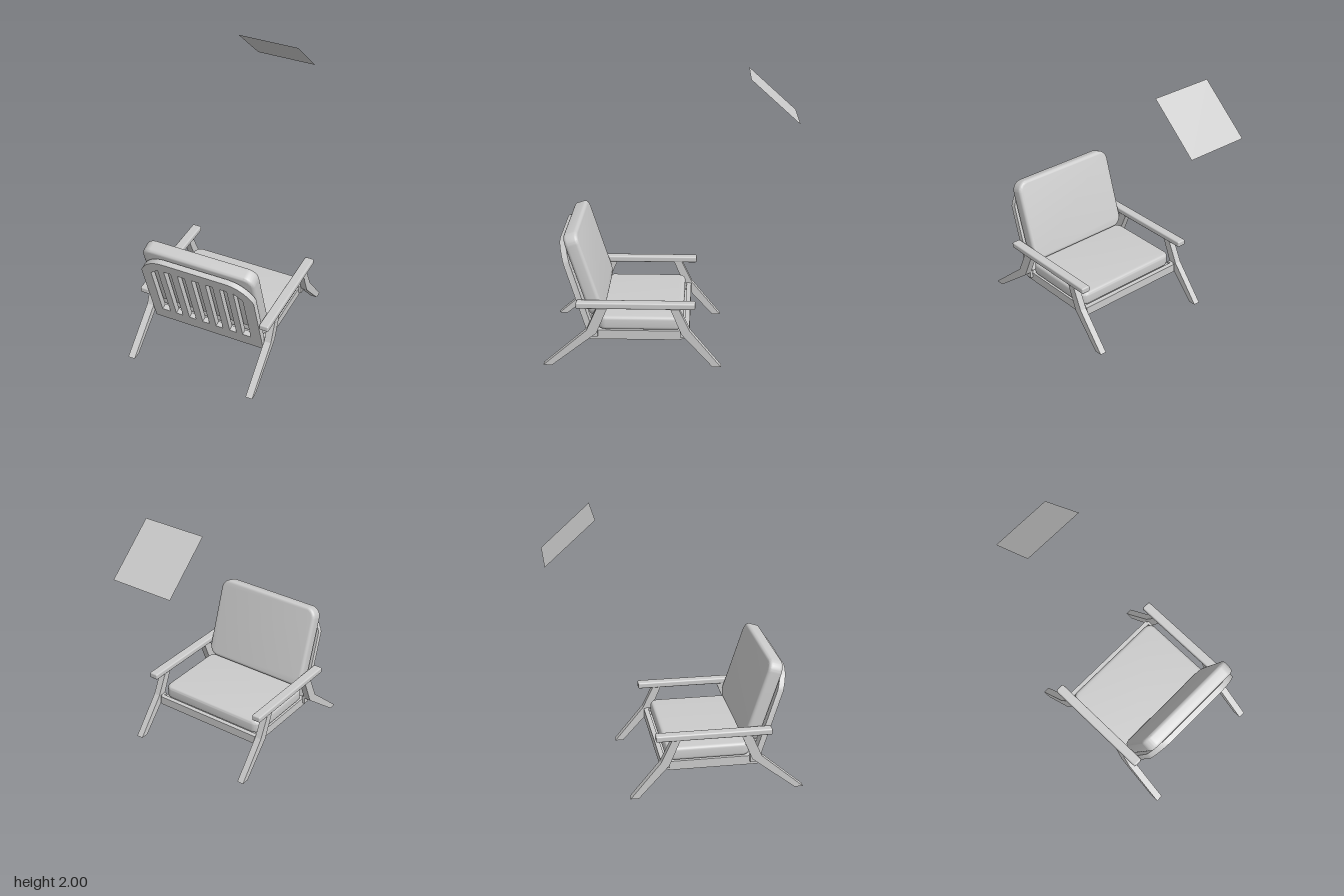
import * as THREE from 'three';
import { toCreasedNormals } from 'three/addons/utils/BufferGeometryUtils.js';
import { RoundedBoxGeometry } from 'three/addons/geometries/RoundedBoxGeometry.js';

const grey = new THREE.MeshStandardMaterial({ color: 0xcccccc });

function add(parent, name, geometry, x = 0, y = 0, z = 0, material = grey) {
  const mesh = new THREE.Mesh(geometry, material);
  mesh.name = name;
  mesh.position.set(x, y, z);
  parent.add(mesh);
  return mesh;
}

const polygon = (points) => new THREE.Shape(points.map(([x, y]) => new THREE.Vector2(x, y)));

// Side profile given as (z, y) points, extruded between x0 and x1
function sideProfile(points, x0, x1) {
  const g = new THREE.ExtrudeGeometry(polygon(points), { depth: x1 - x0, bevelEnabled: false });
  return g.rotateY(-Math.PI / 2).translate(x1, 0, 0);
}

// Padded slab centred on the origin, w by h in plan with round corners, t thick along z
function cushion(w, h, t, corner, edge) {
  const a = w / 2 - edge, b = h / 2 - edge, r = corner - edge;
  const s = new THREE.Shape();
  s.moveTo(-a + r, -b);
  s.lineTo(a - r, -b);
  s.absarc(a - r, -b + r, r, -Math.PI / 2, 0);
  s.absarc(a - r, b - r, r, 0, Math.PI / 2);
  s.absarc(-a + r, b - r, r, Math.PI / 2, Math.PI);
  s.absarc(-a + r, -b + r, r, Math.PI, Math.PI * 1.5);
  const g = new THREE.ExtrudeGeometry(s, {
    depth: t - 2 * edge, bevelThickness: edge, bevelSize: edge, bevelSegments: 5, curveSegments: 8,
  });
  return toCreasedNormals(g.translate(0, 0, -(t / 2 - edge)), 0.7);
}

// Backrest board with a curved top and seven slots
function backBoard() {
  const s = new THREE.Shape();
  s.moveTo(-0.435, 0);
  s.lineTo(0.435, 0);
  s.lineTo(0.435, 0.585);
  s.bezierCurveTo(0.4, 0.66, 0.34, 0.725, 0.24, 0.727);
  s.lineTo(-0.24, 0.727);
  s.bezierCurveTo(-0.34, 0.725, -0.4, 0.66, -0.435, 0.585);
  for (let i = -3; i <= 3; i++) {
    const x = i * 0.108 - 0.004, w = Math.abs(i) === 3 ? 0.032 : 0.027;
    const left = i === -3 ? 0.58 : 0.638, right = i === 3 ? 0.58 : 0.638;
    s.holes.push(polygon([[x - w, 0.115], [x - w, left], [x + w, right], [x + w, 0.115]]));
  }
  const g = new THREE.ExtrudeGeometry(s, { depth: 0.042, bevelEnabled: false, curveSegments: 10 });
  return toCreasedNormals(g.translate(0, 0, -0.042), 0.5);
}

export function createModel() {
  const model = new THREE.Group();
  model.name = 'loungeChair';

  const backLeg = [[0.893, 0], [0.58, 0.27], [0.505, 0.44], [0.43, 0.44], [0.51, 0.25], [0.83, 0]];
  const frontLeg = [[-0.37, 0], [-0.31, 0], [-0.09, 0.245], [-0.01, 0.44], [-0.07, 0.44], [-0.15, 0.27]];
  const rail = [[0.56, 0.177], [0.53, 0.245], [-0.145, 0.245], [-0.145, 0.2], [-0.07, 0.177]];

  // Arms, legs and side rails, mirrored left and right
  for (const side of [1, -1]) {
    const name = side > 0 ? 'left' : 'right';
    const span = (a, b) => (side > 0 ? [a, b] : [-b, -a]);
    add(model, name + 'Armrest', new RoundedBoxGeometry(0.07, 0.046, 0.838, 2, 0.011), side * 0.473, 0.458, 0.233);
    add(model, name + 'BackLeg', sideProfile(backLeg, ...span(0.448, 0.5)));
    add(model, name + 'FrontLeg', sideProfile(frontLeg, ...span(0.449, 0.498)));
    add(model, name + 'SideRail', sideProfile(rail, ...span(0.375, 0.435)));
    for (const z of [-0.105, 0.53]) {
      add(model, name + 'LegSpacer', new THREE.BoxGeometry(0.025, 0.06, 0.05), side * 0.443, 0.235, z);
    }
  }

  // Seat frame and base
  add(model, 'frontRail', sideProfile(
    [[-0.11, 0.187], [-0.11, 0.265], [-0.145, 0.265], [-0.145, 0.2]], -0.437, 0.437));
  add(model, 'frontInnerRail', new THREE.BoxGeometry(0.76, 0.055, 0.05), 0, 0.21, -0.085);
  add(model, 'backRail', new THREE.BoxGeometry(0.76, 0.06, 0.06), 0, 0.21, 0.505);
  add(model, 'seatBase', new THREE.BoxGeometry(0.76, 0.015, 0.6), 0, 0.24, 0.21);

  // Seat cushion
  const seat = add(model, 'seatCushion', cushion(0.865, 0.61, 0.1, 0.06, 0.025), 0, 0.296, 0.205);
  seat.rotation.x = Math.PI / 2;

  // Reclined backrest
  const back = add(model, 'backBoard', backBoard(), 0, 0.177, 0.565);
  back.rotation.x = 0.297;
  const pad = add(model, 'backCushion', cushion(0.86, 0.63, 0.105, 0.08, 0.025), 0, 0.648, 0.6);
  pad.rotation.x = 0.31;

  // Floating square panel, tilted
  const panel = add(model, 'floatingPanel', new THREE.PlaneGeometry(0.465, 0.464), -0.058, 1.845, -0.727,
    new THREE.MeshStandardMaterial({ color: 0xcccccc, side: THREE.DoubleSide }));
  panel.geometry.rotateY(Math.PI);
  panel.rotation.x = Math.atan2(0.345, 0.31);

  return model;
}
